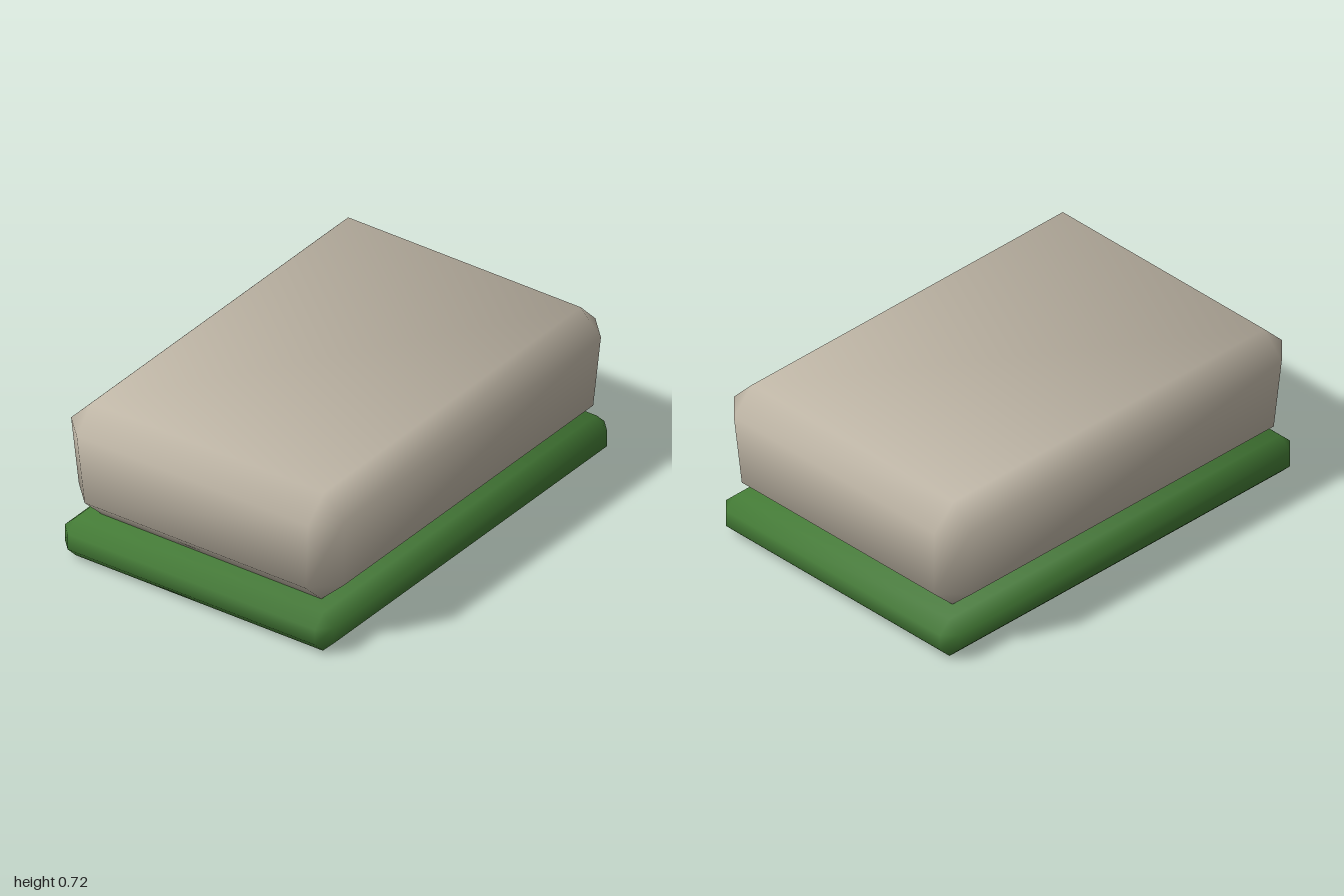
import * as THREE from 'three';

// Eight corners of a rectangle with cut corners, counter-clockwise seen from above
function ring({ y, x, z, cut }) {
  const a = x - cut, b = z - cut;
  return [[x, b], [x, -b], [a, -z], [-a, -z], [-x, -b], [-x, b], [-a, z], [a, z]]
    .map(([px, pz]) => new THREE.Vector3(px, y, pz));
}

// Closed block lofted through the levels, with softly averaged normals
function bevelledBlock(levels) {
  const rings = levels.map(ring);
  const faces = [];
  for (let i = 0; i < rings.length - 1; i++) {
    for (let j = 0; j < 8; j++) {
      const k = (j + 1) % 8;
      faces.push([rings[i][j], rings[i][k], rings[i + 1][k], rings[i + 1][j]]);
    }
  }
  faces.push([...rings[rings.length - 1]], [...rings[0]].reverse());

  const key = (p) => p.toArray().map((n) => n.toFixed(4)).join();
  const normals = new Map();
  const corners = [];
  for (const face of faces) {
    // Uncut corners collapse, leaving triangles or nothing
    const pts = face.filter((p, i) => p.distanceTo(face[(i + 1) % face.length]) > 1e-5);
    if (pts.length < 3) continue;
    const n = new THREE.Vector3().crossVectors(
      pts[1].clone().sub(pts[0]), pts[2].clone().sub(pts[0])).normalize();
    for (const p of pts) {
      if (!normals.has(key(p))) normals.set(key(p), new THREE.Vector3());
      normals.get(key(p)).add(n);
    }
    for (let i = 1; i < pts.length - 1; i++) corners.push(pts[0], pts[i], pts[i + 1]);
  }
  const geometry = new THREE.BufferGeometry().setFromPoints(corners);
  const smooth = corners.flatMap((p) => normals.get(key(p)).clone().normalize().toArray());
  geometry.setAttribute('normal', new THREE.Float32BufferAttribute(smooth, 3));
  return geometry;
}

export function createModel() {
  const stone = new THREE.MeshStandardMaterial({ color: 0xbfb6a6 });
  stone.name = 'warm grey stone';
  const grass = new THREE.MeshStandardMaterial({ color: 0x437a35 });
  grass.name = 'grass green';

  const model = new THREE.Group();
  model.name = 'stoneOnGrassBase';
  const add = (name, material, levels) => {
    const mesh = new THREE.Mesh(bevelledBlock(levels), material);
    mesh.name = name;
    model.add(mesh);
  };

  // Low slab with bevelled edges
  add('grassBase', grass, [
    { y: 0, x: 0.945, z: 0.625, cut: 0 },
    { y: 0.055, x: 1, z: 0.68, cut: 0.055 },
    { y: 0.128, x: 1, z: 0.68, cut: 0.055 },
    { y: 0.182, x: 0.945, z: 0.625, cut: 0 },
  ]);

  // Heavy block, slightly wider towards the top
  add('stoneBlock', stone, [
    { y: 0.18, x: 0.86, z: 0.555, cut: 0 },
    { y: 0.288, x: 0.972, z: 0.67, cut: 0.11 },
    { y: 0.61, x: 0.993, z: 0.69, cut: 0.105 },
    { y: 0.717, x: 0.888, z: 0.588, cut: 0 },
  ]);
  return model;
}
